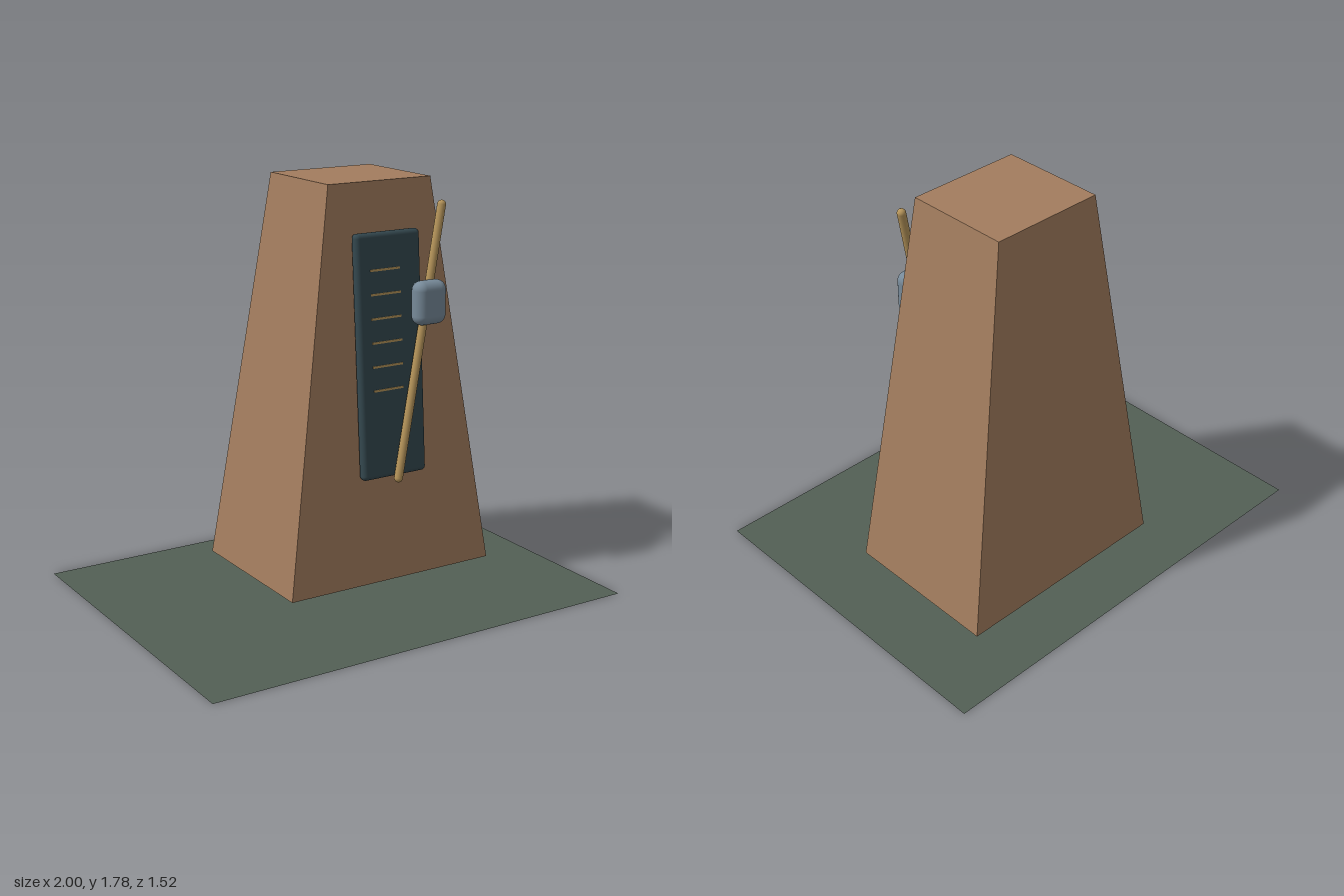
import * as THREE from 'three';
import { RoundedBoxGeometry } from 'three/addons/geometries/RoundedBoxGeometry.js';

const paint = (name, color, side = THREE.FrontSide) => {
  const m = new THREE.MeshStandardMaterial({ color, side });
  m.name = name;
  return m;
};

export function createModel() {
  const wood = paint('wood brown', 0xa37d5e);
  const ground = paint('ground green', 0x535f55, THREE.DoubleSide);
  const slate = paint('dark slate', 0x34484f);
  const brass = paint('brass', 0xb5945a);
  const steel = paint('steel blue grey', 0x778a99);

  const model = new THREE.Group();
  model.name = 'metronome';
  const add = (parent, name, geometry, material, x = 0, y = 0, z = 0) => {
    const mesh = new THREE.Mesh(geometry, material);
    mesh.name = name;
    mesh.position.set(x, y, z);
    parent.add(mesh);
    return mesh;
  };

  // Flat ground sheet
  add(model, 'groundSheet', new THREE.PlaneGeometry(2, 1.524).rotateX(-Math.PI / 2), ground);

  // Tapered body: a box whose top corners are drawn inwards
  const cx = 0.193;
  const height = 1.735;
  const body = new THREE.BoxGeometry(1.026, height, 0.72);
  const p = body.attributes.position;
  for (let i = 0; i < p.count; i++) {
    if (p.getY(i) > 0) {
      p.setX(i, p.getX(i) * 0.5);
      p.setZ(i, p.getZ(i) * 0.648);
    }
  }
  body.computeVertexNormals();
  add(model, 'body', body, wood, cx, 0.05 + height / 2, -0.161);

  // Scale plate leaning with the front face, with its tick marks
  const scale = new THREE.Group();
  scale.name = 'scale';
  scale.position.set(cx, 1.052, 0.153);
  scale.rotation.x = -0.071;
  model.add(scale);
  add(scale, 'scalePlate', new RoundedBoxGeometry(0.325, 1.055, 0.045, 4, 0.02), slate);
  for (let i = 0; i < 6; i++) {
    add(scale, 'tickMark', new THREE.BoxGeometry(0.15, 0.009, 0.006), brass,
      -0.023, -0.142 + i * 0.1025, 0.0225);
  }

  // Swinging rod with rounded ends
  const low = new THREE.Vector3(0.197, 0.522, 0.227);
  const high = new THREE.Vector3(0.444, 1.676, 0.165);
  const along = high.clone().sub(low);
  const rod = add(model, 'pendulumRod',
    new THREE.CapsuleGeometry(0.019, along.length(), 6, 16), brass);
  rod.position.copy(low).add(high).multiplyScalar(0.5);
  rod.quaternion.setFromUnitVectors(new THREE.Vector3(0, 1, 0), along.normalize());

  // Sliding weight on the rod
  add(model, 'slidingWeight', new RoundedBoxGeometry(0.153, 0.19, 0.088, 5, 0.04), steel,
    0.358, 1.271, 0.203);

  return model;
}
